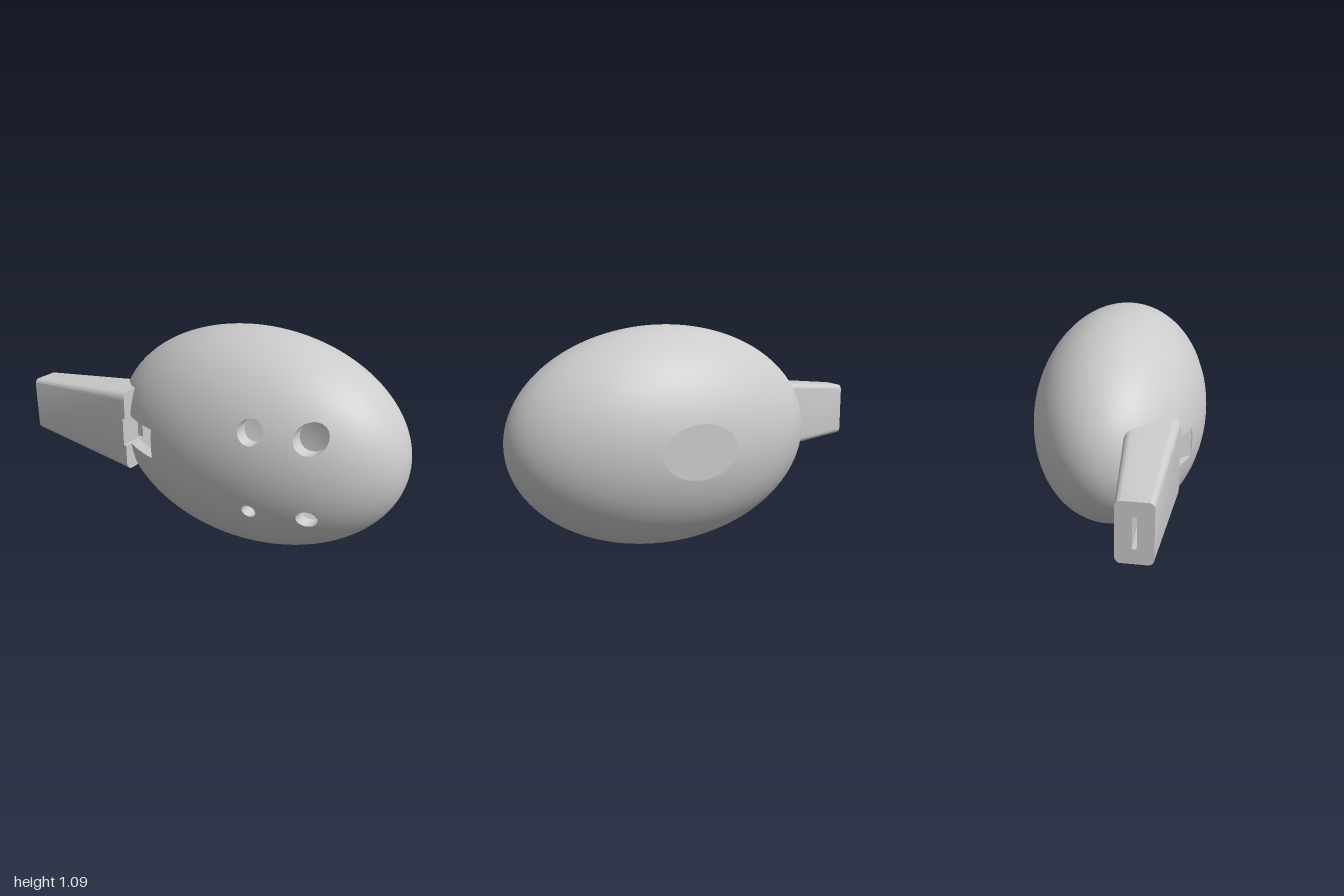
import * as THREE from 'three';
import { toCreasedNormals } from 'three/addons/utils/BufferGeometryUtils.js';

const C = [0.217, 0.545, -0.0065];          // centre of the egg
const R = [0.783, 0.545, 0.4495];           // its radii
const WALL = 0.06;
const BACK = -0.443;                        // flat resting spot
const k = Math.sqrt(1 - ((BACK - C[2]) / R[2]) ** 2);

// openings: centre, half sizes, side of the egg, square or round
const fingerHoles = [
  { x: 0.41, y: 0.742, rx: 0.059, ry: 0.059 },
  { x: 0.667, y: 0.742, rx: 0.07, ry: 0.07 },
  { x: 0.41, y: 0.352, rx: 0.034, ry: 0.034 },
  { x: 0.667, y: 0.352, rx: 0.045, ry: 0.045 },
].map((h) => ({ ...h, side: 1 }));
const soundWindow = { x: -0.25, y: 0.547, rx: 0.105, ry: 0.076, side: 1, square: true };
const backSpot = { x: C[0], y: C[1], rx: R[0] * k, ry: R[1] * k, side: -1 };

const reach = (h, u, v) => (h.square ? Math.max(Math.abs(u), Math.abs(v)) : Math.hypot(u, v));

function surfaceZ(x, y, side, inset) {
  const q = 1 - ((x - C[0]) / (R[0] - inset)) ** 2 - ((y - C[1]) / (R[1] - inset)) ** 2;
  return C[2] + side * (R[2] - inset) * Math.sqrt(Math.max(q, 0));
}

// ellipsoid whose vertices are pulled onto the rims of the openings
function shell(inset, openings, wSeg, hSeg, inward) {
  const geo = new THREE.SphereGeometry(1, wSeg, hSeg);
  const p = geo.attributes.position, n = geo.attributes.normal;
  const r = R.map((a) => a - inset);
  const owner = [];
  const v = new THREE.Vector3();
  for (let i = 0; i < p.count; i++) {
    let x = C[0] + p.getX(i) * r[0], y = C[1] + p.getY(i) * r[1], z = C[2] + p.getZ(i) * r[2];
    owner[i] = -1;
    openings.forEach((h, j) => {
      const u = (x - h.x) / h.rx, w = (y - h.y) / h.ry, d = reach(h, u, w);
      if (d >= 1 || (z - C[2]) * h.side < 0) return;
      const s = 1 / Math.max(d, 1e-6);
      x = h.x + u * s * h.rx;
      y = h.y + w * s * h.ry;
      z = surfaceZ(x, y, h.side, inset);
      owner[i] = j;
    });
    p.setXYZ(i, x, y, z);
    v.set((x - C[0]) / r[0] ** 2, (y - C[1]) / r[1] ** 2, (z - C[2]) / r[2] ** 2).normalize();
    if (inward) v.negate();
    n.setXYZ(i, v.x, v.y, v.z);
  }
  const old = geo.index.array, kept = [];
  for (let i = 0; i < old.length; i += 3) {
    const [a, b, c] = [old[i], old[i + 1], old[i + 2]];
    if (owner[a] >= 0 && owner[a] === owner[b] && owner[b] === owner[c]) continue;
    kept.push(a, inward ? c : b, inward ? b : c);
  }
  geo.setIndex(kept);
  return geo;
}

// wall of an opening, from the outer to the inner surface
function openingWall(h) {
  const pos = [], idx = [], N = 48;
  for (let i = 0; i <= N; i++) {
    const a = (i / N) * Math.PI * 2, u = Math.cos(a), w = Math.sin(a), d = reach(h, u, w);
    const x = h.x + (u / d) * h.rx, y = h.y + (w / d) * h.ry;
    pos.push(x, y, surfaceZ(x, y, 1, 0), x, y, surfaceZ(x, y, 1, WALL));
    if (i < N) idx.push(2 * i, 2 * i + 1, 2 * i + 2, 2 * i + 1, 2 * i + 3, 2 * i + 2);
  }
  const geo = new THREE.BufferGeometry();
  geo.setAttribute('position', new THREE.Float32BufferAttribute(pos, 3));
  geo.setIndex(idx);
  return toCreasedNormals(geo, 0.6);
}

// rounded cross-section of the mouthpiece, optionally notched on its front edge
function section(notched) {
  const a = 0.1275, b = 0.21, r = 0.04, s = new THREE.Shape();
  s.moveTo(-a + r, -b);
  s.lineTo(a - r, -b);
  s.absarc(a - r, -b + r, r, -Math.PI / 2, 0);
  s.lineTo(a, b - r);
  s.absarc(a - r, b - r, r, 0, Math.PI / 2);
  s.lineTo(-a + r, b);
  s.absarc(-a + r, b - r, r, Math.PI / 2, Math.PI);
  if (notched) {
    for (const [x, y] of [[-a, 0.073], [0.01, 0.073], [0.01, -0.073], [-a, -0.073]]) s.lineTo(x, y);
  }
  s.lineTo(-a, -b + r);
  s.absarc(-a + r, -b + r, r, Math.PI, Math.PI * 1.5);
  if (!notched) {
    const slot = new THREE.Path();
    slot.moveTo(-0.01, -0.073);
    slot.lineTo(-0.01, 0.073);
    slot.lineTo(0.01, 0.073);
    slot.lineTo(0.01, -0.073);
    slot.closePath();
    s.holes.push(slot);
  }
  return s;
}

// extrude a section along x; the outside tapers, the windway stays even
function mouthpiecePart(shape, x0, x1) {
  const geo = new THREE.ExtrudeGeometry(shape, { depth: x1 - x0, bevelEnabled: false, curveSegments: 6 });
  geo.rotateY(Math.PI / 2).translate(x0, 0, 0);
  const p = geo.attributes.position;
  for (let i = 0; i < p.count; i++) {
    const x = p.getX(i), y = p.getY(i), z = p.getZ(i), t = (x + 1) / 0.66;
    const windway = Math.abs(y) < 0.08 && Math.abs(z) < 0.015;
    p.setY(i, 0.547 + y * (windway ? 1 : 0.68 + 0.32 * t));
    p.setZ(i, 0.219 + z * (windway ? 1 : 0.627 + 0.373 * t));
  }
  return toCreasedNormals(geo, 0.5);
}

export function createModel() {
  const model = new THREE.Group();
  const mat = new THREE.MeshStandardMaterial({ color: 0xcccccc });
  const thin = new THREE.MeshStandardMaterial({ color: 0xcccccc, side: THREE.DoubleSide });
  const add = (name, geo, m = mat) => {
    const mesh = new THREE.Mesh(geo, m);
    mesh.name = name;
    model.add(mesh);
    return mesh;
  };

  // hollow body
  const front = [...fingerHoles, soundWindow];
  add('body', shell(0, [...front, backSpot], 280, 160, false));
  add('chamber', shell(WALL, front, 160, 100, true));
  const spot = add('flatBack', new THREE.CircleGeometry(1, 96).rotateY(Math.PI));
  spot.scale.set(backSpot.rx, backSpot.ry, 1);
  spot.position.set(backSpot.x, backSpot.y, BACK);

  // finger holes and sound window
  fingerHoles.forEach((h, i) => add(`fingerHole${i + 1}`, openingWall(h), thin));
  add('soundWindow', openingWall(soundWindow), thin);

  // sloping wedge that splits the air
  const wedge = new THREE.Shape([[-0.27, -0.225], [-0.145, -0.385], [-0.145, -0.31]]
    .map(([x, z]) => new THREE.Vector2(x, z)));
  const wedgeGeo = new THREE.ExtrudeGeometry(wedge, { depth: 0.152, bevelEnabled: false });
  add('airWedge', wedgeGeo.rotateX(-Math.PI / 2).translate(0, 0.471, 0));

  // mouthpiece with its windway and notched end
  add('mouthpiece', mouthpiecePart(section(false), -1, -0.355));
  add('mouthpieceEnd', mouthpiecePart(section(true), -0.355, -0.34));
  return model;
}
